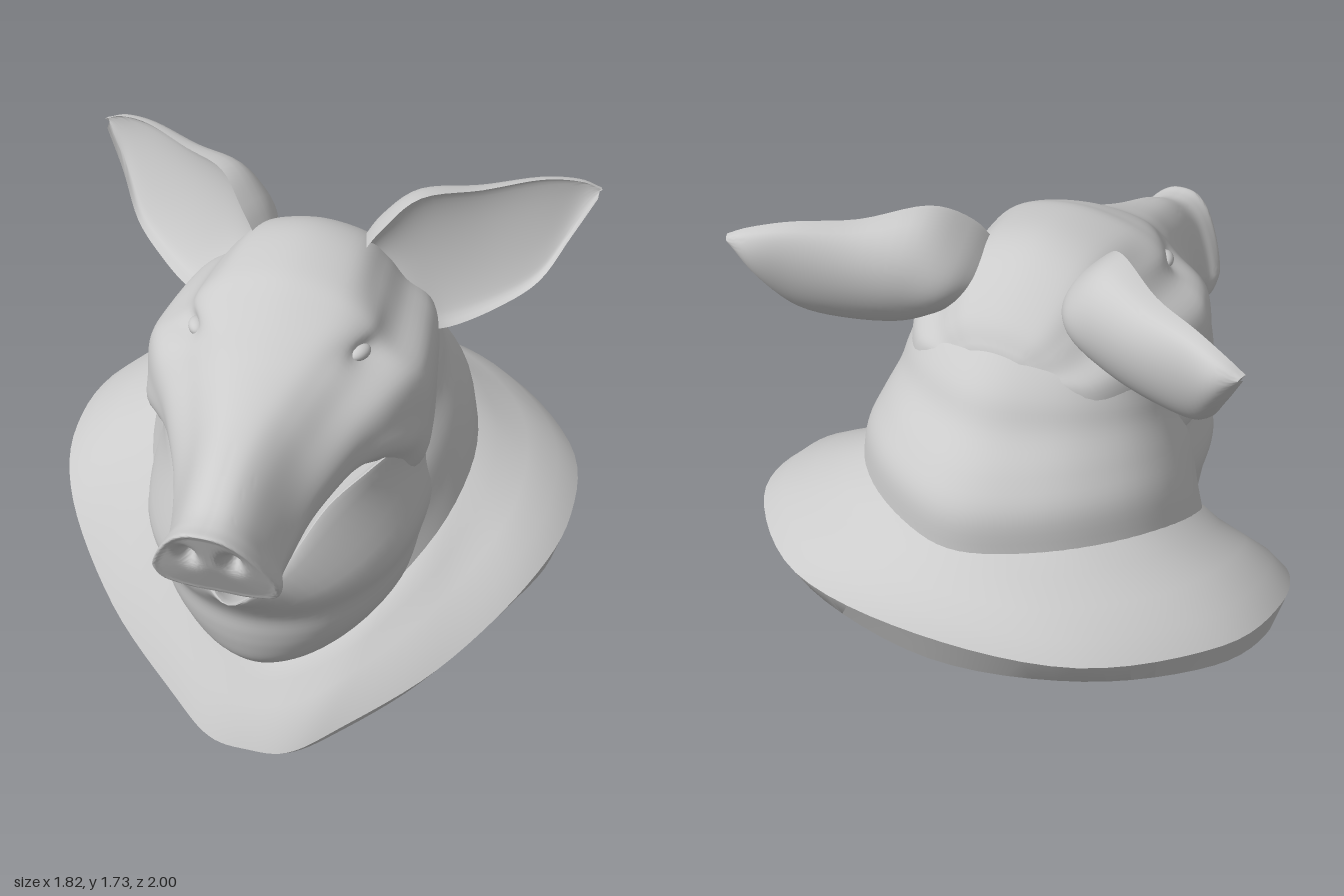
import * as THREE from 'three';
import { toCreasedNormals } from 'three/addons/utils/BufferGeometryUtils.js';

const V = (x, y, z) => new THREE.Vector3(x, y, z);
const material = new THREE.MeshStandardMaterial({ color: 0xcccccc, roughness: 0.8 });

// Closed ring from a half outline running front/top to back/bottom on the +x side
function mirrorRing(half) {
  const other = half.slice(1, -1).reverse().map((p) => V(-p.x, p.y, p.z));
  return [...half, ...other];
}

// Smooth capped skin through closed rings; nv = steps between rings
function loft(rings, nu = 72, nv = 5, crease = 1, deform = null) {
  const loops = rings.map((r) => new THREE.CatmullRomCurve3(r, true, 'catmullrom', 0.5).getPoints(nu).slice(0, nu));
  const rows = (rings.length - 1) * nv + 1;
  const pts = Array.from({ length: rows }, () => []);
  for (let u = 0; u < nu; u++) {
    const column = new THREE.CatmullRomCurve3(loops.map((l) => l[u]), false, 'catmullrom', 0.5);
    for (let v = 0; v < rows; v++) pts[v].push(column.getPoint(v / (rows - 1)));
  }
  const flat = pts.flat();
  if (deform) flat.forEach(deform);
  const centre = (row) => row.reduce((a, p) => a.add(p), V(0, 0, 0)).divideScalar(nu);
  flat.push(centre(pts[0]), centre(pts[rows - 1]));
  const index = [];
  for (let u = 0; u < nu; u++) {
    const w = (u + 1) % nu;
    for (let v = 0; v < rows - 1; v++) {
      const a = v * nu + u, b = v * nu + w;
      index.push(a, b, b + nu, a, b + nu, a + nu);
    }
    const last = (rows - 1) * nu;
    index.push(rows * nu, w, u, rows * nu + 1, last + u, last + w);
  }
  // Turn the skin outward if its signed volume is negative
  let volume = 0;
  const cross = V(0, 0, 0);
  for (let i = 0; i < index.length; i += 3) {
    volume += flat[index[i]].dot(cross.crossVectors(flat[index[i + 1]], flat[index[i + 2]]));
  }
  if (volume < 0) index.reverse();
  const g = new THREE.BufferGeometry().setFromPoints(flat);
  g.setIndex(index);
  return toCreasedNormals(g, crease);
}

const outline = (list) => mirrorRing(list.map((p) => V(...p)));

// Tilted oval around the neck: front and back points, half width, lift of the sides
function neckRing([yf, zf, yb, zb, w, lift]) {
  const half = [];
  for (let i = 0; i <= 8; i++) {
    const a = (i / 8) * Math.PI, t = (1 - Math.cos(a)) / 2, s = i % 8 ? Math.sin(a) : 0;
    half.push(V(w * s ** 1.25, yf + (yb - yf) * t + lift * s * s, zf + (zb - zf) * t));
  }
  return mirrorRing(half);
}

function makeShoulders() {
  const lower = outline([[0, 0, 0.61], [0.14, 0.005, 0.59], [0.28, 0.05, 0.5], [0.52, 0.165, 0.3], [0.76, 0.33, 0.01],
    [0.87, 0.43, -0.22], [0.81, 0.52, -0.55], [0.49, 0.56, -0.84], [0, 0.53, -0.93]]);
  const upper = outline([[0, 0.01, 0.62], [0.14, 0.02, 0.605], [0.29, 0.09, 0.52], [0.58, 0.26, 0.32], [0.82, 0.47, 0.05],
    [0.91, 0.575, -0.24], [0.84, 0.63, -0.57], [0.5, 0.67, -0.9], [0, 0.69, -1]]);
  // Underside sags from the rim to a tilted plane
  const underside = lower.map((p) => {
    const z = -0.16 + (p.z + 0.16) * 0.78;
    return V(p.x * 0.7, 0.195 - 0.36 * z, z);
  });
  const inner = neckRing([0.26, 0.43, 0.88, -0.78, 0.565, 0.2]);
  const between = (t, rise) => upper.map((p, i) => p.clone().lerp(inner[i], t).add(V(0, rise, 0)));
  const tucked = inner.map((p) => V(p.x * 0.85, p.y + 0.03, -0.17 + (p.z + 0.17) * 0.85));
  return loft([underside, lower, upper, between(0.18, 0.025), between(0.45, 0.02), between(0.75, 0.005), inner, tucked], 96, 1, 0.6);
}

function makeNeck() {
  return loft([
    [0.24, 0.4, 0.84, -0.79, 0.575, 0.2], [0.42, 0.38, 1.0, -0.78, 0.545, 0.18], [0.62, 0.38, 1.11, -0.71, 0.505, 0.14],
    [0.82, 0.3, 1.21, -0.61, 0.46, 0.1], [1.0, 0.25, 1.31, -0.55, 0.435, 0.05], [1.2, 0.15, 1.4, -0.46, 0.39, 0.02],
    [1.4, 0.05, 1.5, -0.35, 0.26, 0],
  ].map(neckRing));
}

// Heavy lower jaw: rounded chin rings, pointed lip, sunken mouth floor
function makeJaw() {
  const chin = [
    [0.27, 0.44, 0.13, 0.05], [0.3, 0.49, 0.24, 0.04], [0.36, 0.545, 0.335, 0.03], [0.44, 0.575, 0.4, 0.03],
    [0.51, 0.59, 0.435, 0.03], [0.6, 0.605, 0.455, 0.06], [0.7, 0.67, 0.47, 0.14],
  ].map(([y, zf, w, rise]) => {
    const half = [];
    for (let i = 0; i <= 6; i++) {
      const a = (i / 6) * Math.PI, c = Math.cos(a);
      half.push(V(i % 6 ? w * Math.sin(a) : 0, y + rise * (1 - c), 0.05 + c * (c > 0 ? zf - 0.05 : 0.05 + 0.6 * (y - 0.27))));
    }
    return mirrorRing(half);
  });
  const lip = outline([[0, 0.79, 0.77], [0.14, 0.86, 0.65], [0.25, 1.0, 0.48], [0.355, 1.065, 0.31],
    [0.445, 1.09, 0.08], [0.36, 1.1, -0.14], [0, 1.08, -0.22]]);
  const shrink = (s, drop) => lip.map((p) => V(p.x * s, p.y - drop, 0.1 + (p.z - 0.1) * s));
  return loft([...chin, lip, shrink(0.9, 0.02), shrink(0.7, 0.07)]);
}

// Skull and snout as one skin, with nostrils, brows and eye hollows pressed in
function makeHead() {
  const skull = [[0, 1], [0.38, 0.96], [0.57, 0.87], [0.72, 0.77], [0.95, 0.66], [1, 0.45], [0.94, 0.2], [0.5, 0.02], [0, 0]];
  const muzzle = [[0, 1], [0.28, 0.97], [0.54, 0.85], [0.77, 0.64], [0.95, 0.4], [1, 0.25], [0.88, 0.07], [0.45, 0], [0, 0]];
  // z, top, bottom, half width, blend from skull to muzzle
  const stations = [
    [-0.46, 1.4, 1.2, 0.18, 0], [-0.4, 1.49, 1.0, 0.32, 0], [-0.25, 1.6, 0.86, 0.41, 0], [-0.1, 1.64, 0.78, 0.445, 0],
    [0.1, 1.62, 0.78, 0.47, 0], [0.2, 1.58, 0.92, 0.445, 0.05], [0.3, 1.53, 1.03, 0.395, 0.2], [0.4, 1.465, 1.05, 0.325, 0.4],
    [0.5, 1.42, 1.02, 0.27, 0.6], [0.6, 1.38, 0.98, 0.225, 0.8], [0.72, 1.32, 0.93, 0.195, 1], [0.82, 1.26, 0.91, 0.185, 1],
    [0.88, 1.245, 0.9, 0.2, 1], [0.92, 1.245, 0.91, 0.198, 1],
  ];
  const rings = stations.map(([z, top, bottom, w, k]) => mirrorRing(skull.map(([sx, sy], i) => {
    const x = sx + (muzzle[i][0] - sx) * k;
    const y = bottom + (top - bottom) * (sy + (muzzle[i][1] - sy) * k);
    return V(x * w, y, z + (y - 1.08) * 0.45 * Math.max(0, (z - 0.6) / 0.32));
  })));
  // Snout disc
  const rim = rings[rings.length - 1];
  for (const s of [0.88, 0.68, 0.48, 0.28, 0.08]) {
    rings.push(rim.map((p) => V(p.x * s, 1.07 + (p.y - 1.07) * s, 0.925 + (p.z - 0.925) * s)));
  }
  const bump = (p, x, y, z, rx, ry, rz) =>
    Math.exp(-(((Math.abs(p.x) - x) / rx) ** 2) - ((p.y - y) / ry) ** 2 - ((p.z - z) / rz) ** 2);
  return loft(rings, 96, 5, 1, (p) => {
    const side = Math.sign(p.x);
    const nostril = bump(p, 0.07, 1.11, 0.94, 0.027, 0.042, 0.06);
    const brow = bump(p, 0.28, 1.52, 0.2, 0.12, 0.05, 0.13);
    const socket = bump(p, 0.31, 1.44, 0.24, 0.12, 0.035, 0.06);
    const cheek = bump(p, 0.4, 1.12, 0.27, 0.12, 0.08, 0.1);
    p.x += side * (0.025 * brow - 0.025 * socket + 0.02 * cheek);
    p.z -= 0.055 * nostril + 0.015 * socket;
  });
}

// Cupped ear: crescent sections from base to tip, hollow towards the front
function makeEar(side) {
  // top point, bottom point, backward bulge
  const sections = [
    [[0.16, 1.55, -0.12], [0.29, 1.38, -0.08], 0.2], [[0.23, 1.65, -0.16], [0.36, 1.33, -0.12], 0.25],
    [[0.33, 1.725, -0.26], [0.45, 1.29, -0.21], 0.21], [[0.5, 1.705, -0.4], [0.58, 1.31, -0.33], 0.14],
    [[0.67, 1.71, -0.51], [0.7, 1.37, -0.44], 0.09], [[0.79, 1.69, -0.57], [0.78, 1.5, -0.53], 0.06],
    [[0.86, 1.66, -0.59], [0.85, 1.63, -0.58], 0.02],
  ];
  return loft(sections.map(([top, bottom, depth]) => {
    const ring = [];
    for (let i = 0; i < 16; i++) {
      const a = (i / 16) * Math.PI * 2, s = Math.sin(a);
      const p = V(...top).lerp(V(...bottom), (1 - Math.cos(a)) / 2);
      const back = depth * (s > 0 ? s : -0.35 * s) + (i === 0 || i === 8 ? -0.01 : 0);
      ring.push(V(side * (p.x - 0.3 * back), p.y, p.z - back));
    }
    return ring;
  }), 48, 5);
}

export function createModel() {
  const model = new THREE.Group();
  const add = (name, geometry) => {
    const mesh = new THREE.Mesh(geometry, material);
    mesh.name = name;
    model.add(mesh);
    return mesh;
  };
  add('shoulders', makeShoulders());
  add('neck', makeNeck());
  add('lowerJaw', makeJaw());
  add('headAndSnout', makeHead());
  for (const side of [1, -1]) {
    const label = side > 0 ? 'left' : 'right';
    add(label + 'Ear', makeEar(side));
    // Eyeball set in its hollow
    const eye = add(label + 'Eye', new THREE.SphereGeometry(0.04, 24, 16));
    eye.scale.set(0.7, 0.6, 1.1);
    eye.position.set(side * 0.265, 1.435, 0.225);
    eye.rotation.y = side * -0.4;
  }
  return model;
}
